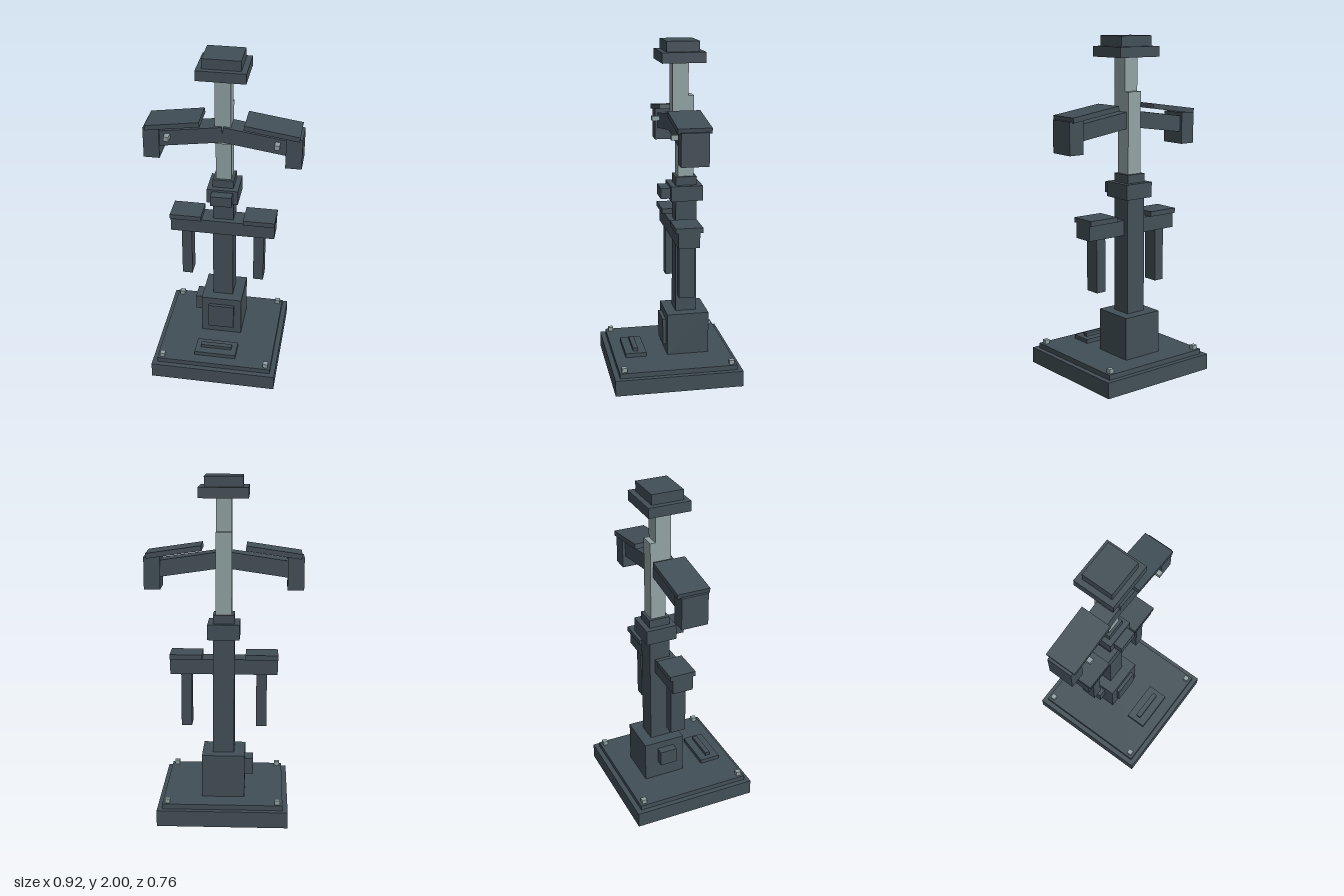
import * as THREE from 'three';

export function createModel() {
  const model = new THREE.Group();
  model.name = 'gymMachine';

  const dark = new THREE.MeshStandardMaterial({ color: 0x424f57 });
  dark.name = 'dark slate';
  const light = new THREE.MeshStandardMaterial({ color: 0x92a3a5 });
  light.name = 'light steel';

  // Box given by its x, y and z extents
  function box(name, mat, [x0, x1], [y0, y1], [z0, z1], parent = model) {
    const mesh = new THREE.Mesh(new THREE.BoxGeometry(x1 - x0, y1 - y0, z1 - z0), mat);
    mesh.position.set((x0 + x1) / 2, (y0 + y1) / 2, (z0 + z1) / 2);
    mesh.name = name;
    parent.add(mesh);
    return mesh;
  }
  const mid = (h) => [-h, h];
  // Extent on the +x side (s = 1) or mirrored to the -x side (s = -1)
  const sided = (s, a, b) => (s > 0 ? [a, b] : [-b, -a]);

  // Base
  box('basePlate', dark, mid(0.38), [0, 0.095], mid(0.38));
  box('baseDeck', dark, mid(0.35), [0.095, 0.125], mid(0.35));
  for (const x of [-0.32, 0.32])
    for (const z of [-0.32, 0.32])
      box('baseBolt', light, [x - 0.015, x + 0.015], [0.125, 0.15], [z - 0.015, z + 0.015]);

  // Foot pedal
  box('pedal', dark, mid(0.127), [0.125, 0.15], [0.158, 0.284]);
  box('pedalRidge', dark, mid(0.095), [0.15, 0.17], [0.205, 0.235]);

  // Pedestal with front panel and side box
  box('pedestal', dark, mid(0.125), [0.125, 0.38], [-0.222, 0.03]);
  box('frontPanel', dark, mid(0.079), [0.175, 0.335], [0.03, 0.05]);
  box('sideBox', dark, [-0.174, -0.125], [0.24, 0.335], [-0.14, -0.035]);

  // Lower column, collar and clamp
  box('lowerColumn', dark, mid(0.062), [0.38, 1.21], [-0.157, -0.032]);
  box('collar', dark, mid(0.093), [1.07, 1.16], [-0.188, 0]);
  box('clampKnob', dark, mid(0.063), [1.083, 1.146], [0, 0.057]);

  // Lower crossbar with pads and hanging legs
  box('lowerCrossbar', dark, mid(0.315), [0.85, 0.94], [-0.125, 0]);
  for (const s of [1, -1]) {
    box('lowerPad', dark, sided(s, 0.127, 0.317), [0.94, 0.97], [-0.142, 0.016]);
    box('hangingLeg', dark, sided(s, 0.19, 0.252), [0.53, 0.85], [-0.109, -0.016]);
  }

  // Two offset sections of the upper column
  box('upperColumnRear', light, mid(0.046), [1.21, 1.685], [-0.141, -0.048]);
  box('upperColumnFront', light, mid(0.046), [1.46, 1.88], [-0.109, -0.016]);

  // Head
  box('headRim', dark, mid(0.142), [1.88, 1.94], [-0.19, 0.062]);
  box('headCap', dark, mid(0.11), [1.94, 2], [-0.158, 0.031]);

  // Sloping upper arms with pads, end blocks and bolts
  for (const s of [1, -1]) {
    const arm = new THREE.Group();
    arm.name = s > 0 ? 'leftArm' : 'rightArm';
    arm.position.set(0, 1.48, 0);
    arm.rotation.z = -s * 0.145;
    model.add(arm);
    box('armBeam', dark, sided(s, -0.008, 0.40), [0, 0.095], [-0.125, 0], arm);
    box('armPad', dark, sided(s, 0.109, 0.429), [0.119, 0.149], [-0.16, 0.031], arm);
    box('endBlock', dark, sided(s, 0.365, 0.459), [1.355, 1.543], [-0.142, 0.016]);
    box('armBolt', light, sided(s, 0.303, 0.333), [1.482, 1.51], [0, 0.046]);
  }

  return model;
}
